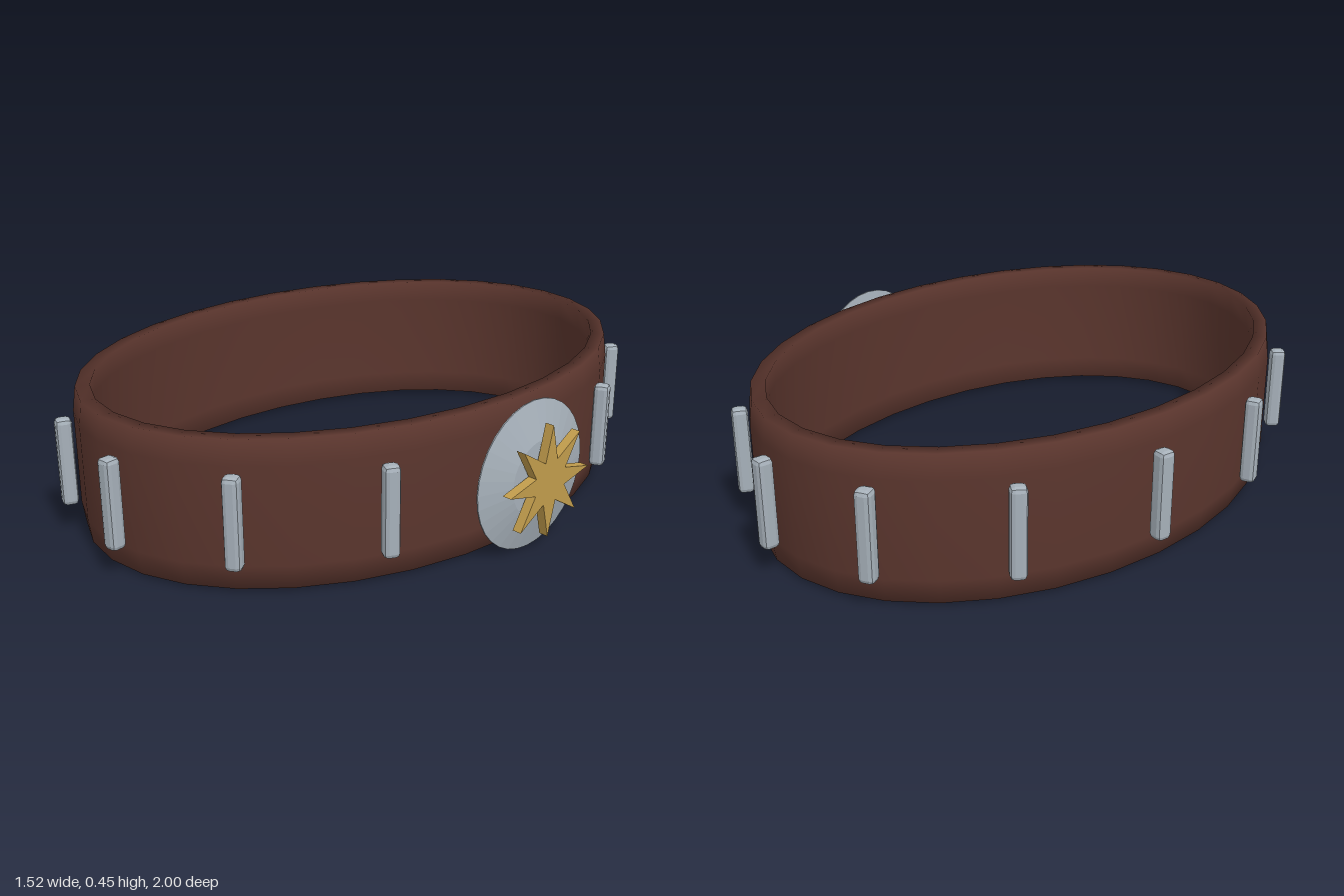
import * as THREE from 'three';
import { RoundedBoxGeometry } from 'three/addons/geometries/RoundedBoxGeometry.js';

const CX = -0.043; // centre of the band's ellipse
const MID = 0.225; // half height of everything

// Elliptical ring of constant wall thickness: profile is a closed loop of [offset, y]
function ellipseRing(rx, rz, profile, segments) {
  const pos = [], idx = [], n = profile.length;
  for (let i = 0; i < segments; i++) {
    const t = (i / segments) * Math.PI * 2;
    for (const [o, y] of profile) pos.push((rx + o) * Math.cos(t), y, (rz + o) * Math.sin(t));
    const next = (i + 1) % segments;
    for (let j = 0; j < n; j++) {
      const k = (j + 1) % n;
      const a = i * n + j, b = i * n + k, c = next * n + j, d = next * n + k;
      idx.push(a, b, d, a, d, c);
    }
  }
  const g = new THREE.BufferGeometry();
  g.setAttribute('position', new THREE.Float32BufferAttribute(pos, 3));
  g.setIndex(idx);
  g.computeVertexNormals();
  return g;
}

function starShape(points, outer, inner) {
  const s = new THREE.Shape();
  for (let i = 0; i < points * 2; i++) {
    const a = (i / (points * 2)) * Math.PI * 2, r = i % 2 ? inner : outer;
    s[i ? 'lineTo' : 'moveTo'](r * Math.cos(a), r * Math.sin(a));
  }
  s.closePath();
  return s;
}

export function createModel() {
  const leather = new THREE.MeshStandardMaterial({ color: 0x5a352d });
  leather.name = 'brown leather';
  const steel = new THREE.MeshStandardMaterial({ color: 0xa6b0b9 });
  steel.name = 'silver metal';
  steel.flatShading = true;
  const gold = new THREE.MeshStandardMaterial({ color: 0xc19c4c });
  gold.name = 'gold metal';

  const model = new THREE.Group();
  model.name = 'studdedBelt';
  const add = (name, geometry, material, parent = model) => {
    const mesh = new THREE.Mesh(geometry, material);
    mesh.name = name;
    parent.add(mesh);
    return mesh;
  };

  // Leather band, both walls bowed outwards so the rims are drawn in
  const profile = [
    [-0.01, 0.008], [0, 0.08], [0, 0.37], [-0.01, 0.443],
    [-0.053, 0.443], [-0.045, 0.37], [-0.045, 0.08], [-0.053, 0.008],
  ];
  add('band', ellipseRing(0.68, 0.948, profile, 32), leather).position.x = CX;

  // Upright bars around the band; the first of 13 places belongs to the buckle
  const bars = new THREE.Group();
  bars.name = 'bars';
  model.add(bars);
  const barGeometry = new RoundedBoxGeometry(0.048, 0.27, 0.048, 1, 0.014);
  for (let i = 1; i < 13; i++) {
    const t = (i / 13) * Math.PI * 2;
    const bar = add('bar', barGeometry, steel, bars);
    bar.position.set(CX + 0.711 * Math.cos(t), MID, 0.98 * Math.sin(t));
    bar.rotation.y = -t;
  }

  // Round buckle facing +x: a thin disc domed on both sides
  const discProfile = [
    [0, 0.658], [0.05, 0.659], [0.225, 0.683], [0.225, 0.687], [0.115, 0.72], [0, 0.723],
  ].map(([r, x]) => new THREE.Vector2(r, x));
  const disc = add('buckleDisc', new THREE.LatheGeometry(discProfile, 32), steel);
  disc.rotation.z = -Math.PI / 2;
  disc.position.y = MID;

  // Eight-pointed star in front of the disc
  const starGeometry = new THREE.ExtrudeGeometry(starShape(8, 0.17, 0.068), { depth: 0.029, bevelEnabled: false });
  const star = add('buckleStar', starGeometry, gold);
  star.rotation.y = Math.PI / 2;
  star.position.set(0.729, MID, 0);

  return model;
}
